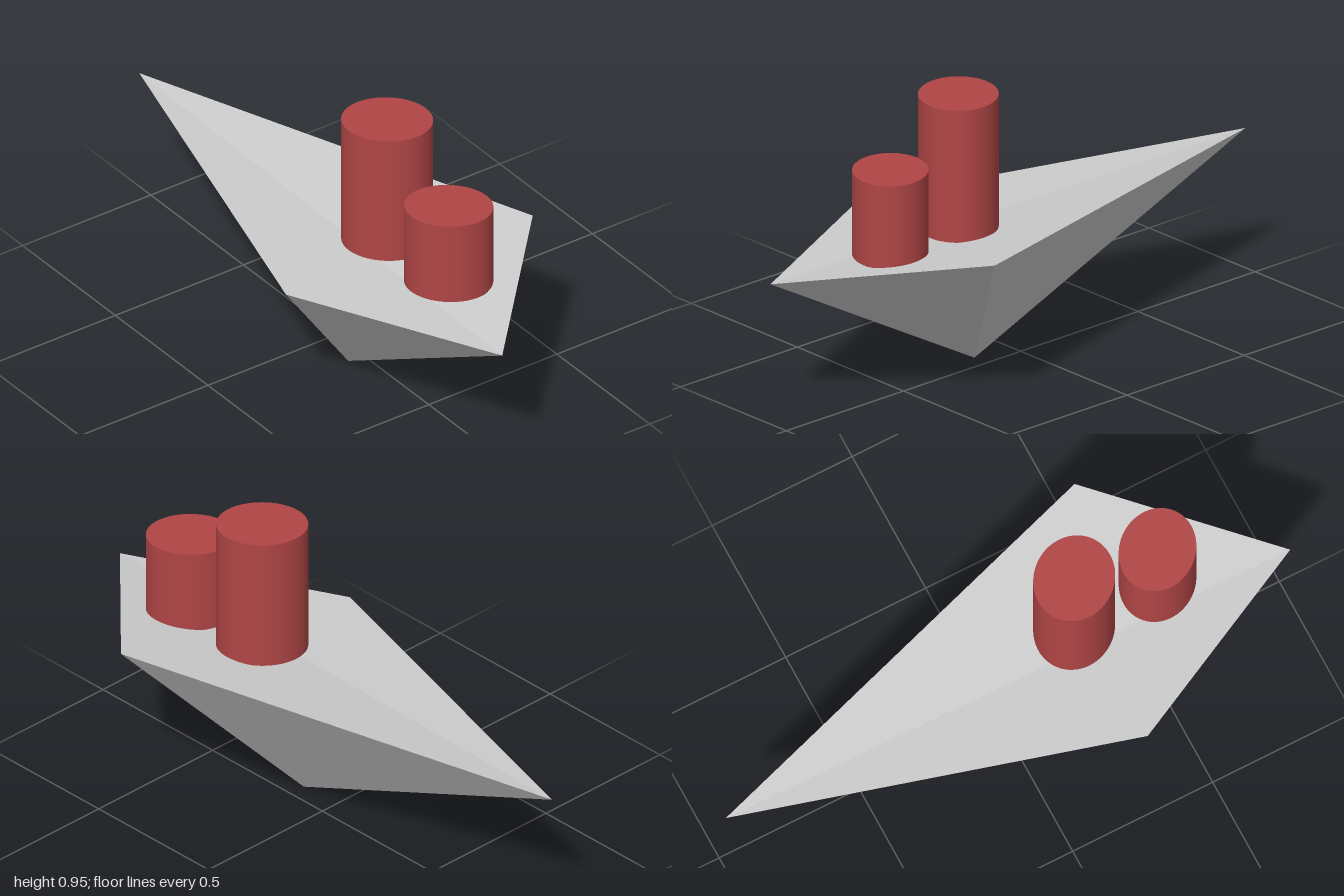
import * as THREE from 'three';

const GREY = new THREE.MeshStandardMaterial({ color: 0xcccccc, flatShading: true, side: THREE.DoubleSide });
const RED = new THREE.MeshStandardMaterial({ color: 0xb04545 });

// Faceted hull: a kite-shaped deck over a single low keel point
function makeHull() {
  const front = [-0.075, 0.477, 1], left = [0.415, 0.548, 0.487];
  const back = [-0.045, 0.477, -1], right = [-0.42, 0.475, 0.31];
  const keel = [-0.058, 0, 0.145];
  const rim = [front, left, back, right];
  // deck, folded along the front-to-back line
  const corners = [front, left, back, front, back, right];
  // sides down to the keel point
  rim.forEach((p, i) => corners.push(rim[(i + 1) % 4], p, keel));
  const geometry = new THREE.BufferGeometry();
  geometry.setAttribute('position', new THREE.Float32BufferAttribute(corners.flat(), 3));
  geometry.computeVertexNormals();
  const hull = new THREE.Mesh(geometry, GREY);
  hull.name = 'hull';
  return hull;
}

// Slightly oval upright funnel, its long axis turned 45 degrees
function makeFunnel(name, x, z, bottom, top, longRadius, shortRadius) {
  const funnel = new THREE.Mesh(new THREE.CylinderGeometry(1, 1, top - bottom, 64), RED);
  funnel.scale.set(longRadius, 1, shortRadius);
  funnel.rotation.y = -Math.PI / 4;
  funnel.position.set(x, (bottom + top) / 2, z);
  funnel.name = name;
  return funnel;
}

export function createModel() {
  const model = new THREE.Group();
  model.name = 'boat';
  model.add(
    makeHull(),
    makeFunnel('tallFunnel', 0.004, 0.27, 0.503, 0.953, 0.146, 0.128),
    makeFunnel('shortFunnel', 0.022, 0.577, 0.498, 0.782, 0.142, 0.121),
  );
  return model;
}
